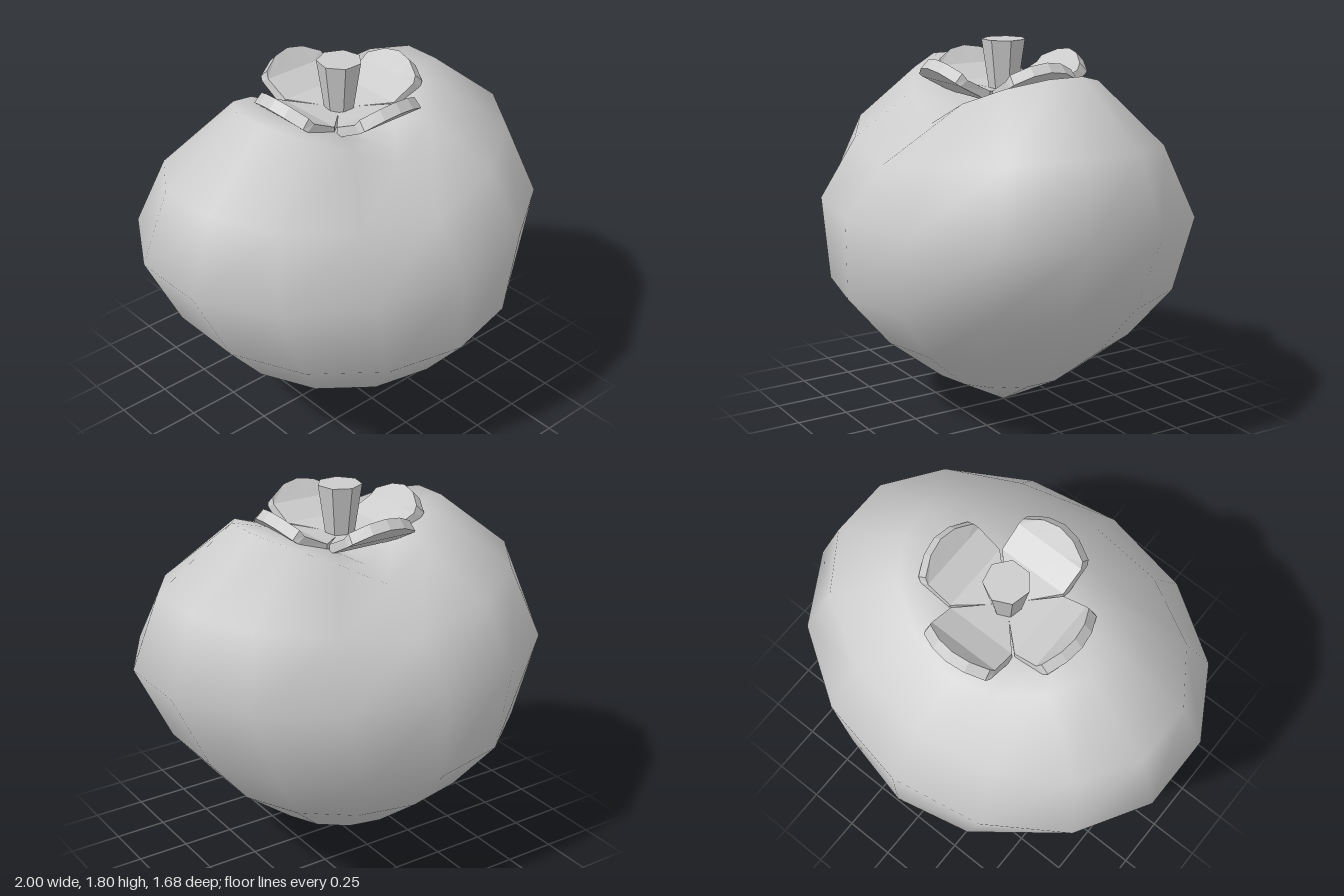
import * as THREE from 'three';
import { mergeVertices } from 'three/addons/utils/BufferGeometryUtils.js';

const SIDES = 14;

// Rings from tip to notch: [x radius, z radius, height at front/back, height at the lobes]
const RINGS = [
  [0, 0, 0, 0],
  [0.35, 0.35, 0.19, 0.19],
  [0.63, 0.63, 0.41, 0.41],
  [0.84, 0.84, 0.66, 0.66],
  [1.026, 0.84, 1.04, 1.04],
  [0.903, 0.66, 1.26, 1.39],
  [0.533, 0.4, 1.43, 1.68],
  [0.345, 0.22, 1.47, 1.635],
  [0, 0, 1.49, 1.49],
];

// Heart-shaped body: elliptical rings whose height rises toward the two lobes
function bodyGeometry() {
  const pos = [], index = [];
  for (const [rx, rz, yFront, ySide] of RINGS) {
    for (let i = 0; i < SIDES; i++) {
      const a = (i / SIDES) * Math.PI * 2;
      const lobe = Math.min(1, Math.abs(Math.sin(a)) / 0.975) ** 0.85;
      pos.push(rx * Math.sin(a), yFront + (ySide - yFront) * lobe, rz * Math.cos(a));
    }
  }
  for (let j = 0; j < RINGS.length - 1; j++) {
    for (let i = 0; i < SIDES; i++) {
      const n = (i + 1) % SIDES;
      const a = j * SIDES + i, b = j * SIDES + n;
      const c = b + SIDES, d = a + SIDES;
      if (j > 0) index.push(a, b, c);
      if (j === 0) index.push(a, c, d);
      else if (j < RINGS.length - 2) index.push(a, c, d);
    }
  }
  const geo = new THREE.BufferGeometry();
  geo.setAttribute('position', new THREE.Float32BufferAttribute(pos, 3));
  geo.setIndex(index);
  const merged = mergeVertices(geo);
  merged.computeVertexNormals();
  return merged;
}

// Leaf stations from centre to tip: [distance out, height, half width]
const LEAF_TOP = [[0, 1.56, 0.004], [0.18, 1.59, 0.172], [0.3, 1.65, 0.175], [0.37, 1.73, 0.165]];
const LEAF_BOTTOM = [[0, 1.52, 0.004], [0.19, 1.545, 0.18], [0.34, 1.625, 0.18], [0.41, 1.69, 0.17]];

// A thick leaf bent upward with a rounded tip, made by reshaping a box
function leafGeometry() {
  const geo = new THREE.BoxGeometry(2, 1, 3, 4, 1, 3);
  const p = geo.attributes.position;
  for (let i = 0; i < p.count; i++) {
    const u = p.getX(i);
    const k = Math.round(p.getZ(i) + 1.5);
    const [r, y, w] = (p.getY(i) > 0 ? LEAF_TOP : LEAF_BOTTOM)[k];
    const round = k === 3 ? u * u : 0;
    p.setXYZ(i, u * w, y - 0.05 * round, r - 0.05 * round);
  }
  geo.computeVertexNormals();
  return geo;
}

export function createModel() {
  const model = new THREE.Group();
  model.name = 'heartFruit';
  const smooth = new THREE.MeshStandardMaterial({ color: 0xcccccc });
  const faceted = new THREE.MeshStandardMaterial({ color: 0xcccccc, flatShading: true });

  const body = new THREE.Mesh(bodyGeometry(), smooth);
  body.name = 'fruitBody';
  model.add(body);

  // Four leaves in a cross
  const leaves = new THREE.Group();
  leaves.name = 'leaves';
  const leafGeo = leafGeometry();
  for (let i = 0; i < 4; i++) {
    const leaf = new THREE.Mesh(leafGeo, faceted);
    leaf.name = 'leaf' + (i + 1);
    leaf.rotation.y = (i * Math.PI) / 2;
    leaves.add(leaf);
  }
  model.add(leaves);

  // Stem, wider at the top
  const stem = new THREE.Mesh(new THREE.CylinderGeometry(0.105, 0.065, 0.27, 7), faceted);
  stem.name = 'stem';
  stem.position.y = 1.665;
  stem.rotation.y = Math.PI;
  model.add(stem);

  return model;
}
